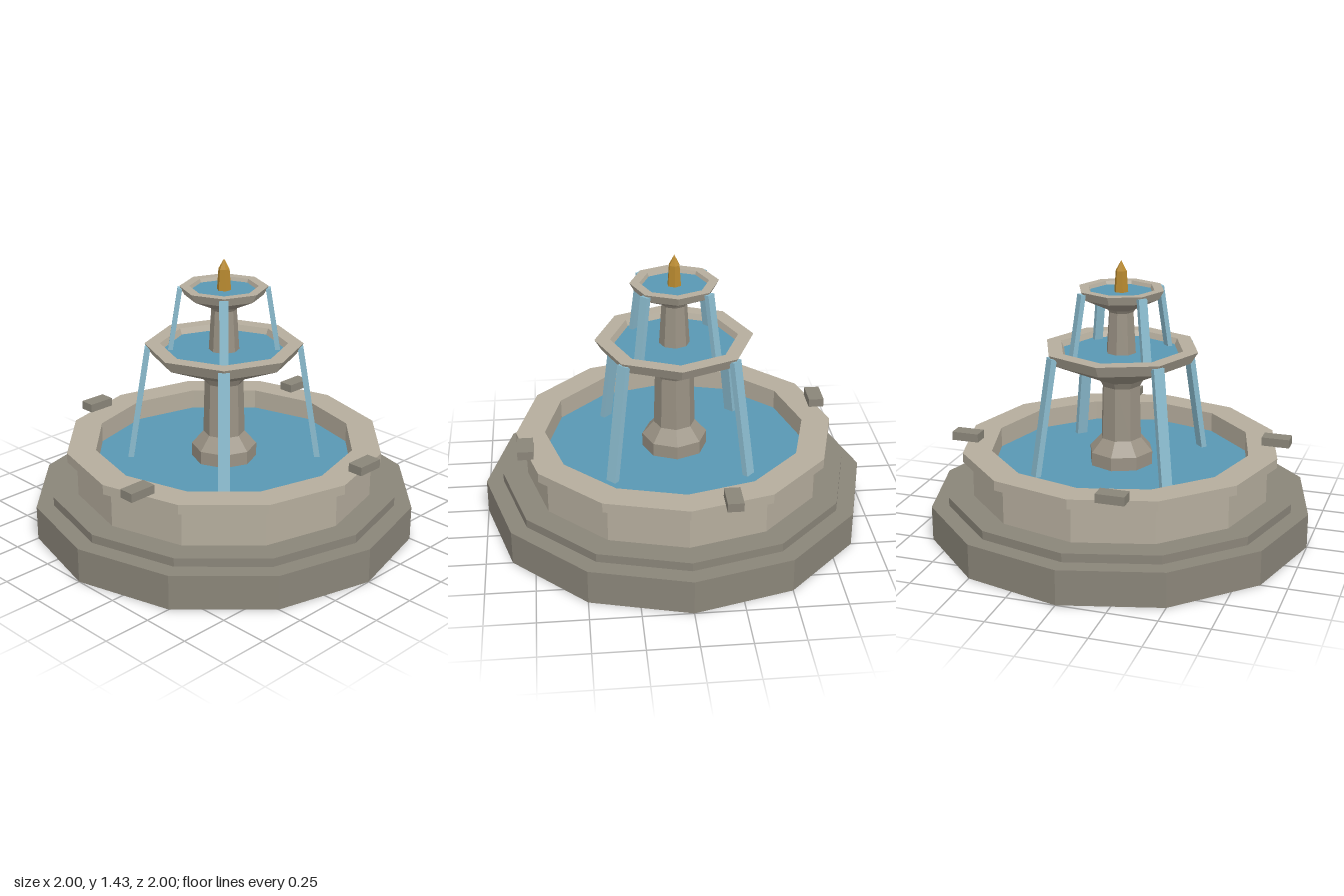
import * as THREE from 'three';

const mat = (name, color) => {
  const m = new THREE.MeshStandardMaterial({ color });
  m.name = name;
  return m;
};

export function createModel() {
  const lightStone = mat('light stone', 0xb5ad9d);
  const midStone = mat('medium stone', 0x9a9284);
  const darkStone = mat('dark stone', 0x8a8579);
  const water = mat('water', 0x5998b3);
  const stream = mat('falling water', 0x8bbccf);
  const gold = mat('gold', 0xb98a30);

  const fountain = new THREE.Group();
  fountain.name = 'fountain';

  const add = (name, geometry, material, parent = fountain) => {
    const mesh = new THREE.Mesh(geometry, material);
    mesh.name = name;
    parent.add(mesh);
    return mesh;
  };

  // Faceted turned part: profile of [radius, height], outside listed bottom to top
  const turned = (name, sides, profile, material) => {
    const points = profile.map(([r, y]) => new THREE.Vector2(r, y));
    const geometry = new THREE.LatheGeometry(points, sides).toNonIndexed();
    geometry.computeVertexNormals();
    return add(name, geometry, material);
  };

  const pool = (name, sides, radius, y) => {
    const disc = add(name, new THREE.CircleGeometry(radius, sides), water);
    disc.rotation.x = -Math.PI / 2;
    disc.position.y = y;
  };

  // Stepped plinth
  turned('plinth', 12, [[0, 0], [1, 0], [1, 0.18], [0.91, 0.18], [0.91, 0.225], [0, 0.225]], darkStone);

  // Basin wall with overhanging rim, open in the middle
  turned('basin', 12, [
    [0.78, 0.225], [0.78, 0.415], [0.83, 0.415], [0.83, 0.465], [0.68, 0.465], [0.68, 0.225],
  ], lightStone);
  pool('basinWater', 12, 0.68, 0.36);

  // Loose blocks lying on the rim
  for (const [x, z] of [[-0.21, -0.785], [0.78, -0.21], [-0.785, 0.205], [0.205, 0.78]]) {
    add('rimBlock', new THREE.BoxGeometry(0.145, 0.045, 0.08), darkStone).position.set(x, 0.487, z);
  }

  // Columns
  turned('lowerColumn', 8, [[0.17, 0.34], [0.17, 0.43], [0.108, 0.5], [0.1, 0.8], [0.1, 0.83]], midStone);
  turned('upperColumn', 8, [[0.08, 0.93], [0.065, 1.17], [0.065, 1.2]], midStone);

  // Bowls: underside, bevelled lip and water
  turned('middleBowl', 8, [[0, 0.78], [0.1, 0.78], [0.12, 0.815], [0.37, 0.925]], midStone);
  turned('middleBowlLip', 8, [[0.37, 0.925], [0.407, 0.985], [0.328, 0.985], [0.305, 0.93]], lightStone);
  pool('middleBowlWater', 8, 0.313, 0.955);

  turned('upperBowl', 8, [[0, 1.17], [0.065, 1.17], [0.075, 1.185], [0.2, 1.245]], midStone);
  turned('upperBowlLip', 8, [[0.2, 1.245], [0.225, 1.29], [0.175, 1.29], [0.155, 1.24]], lightStone);
  pool('upperBowlWater', 8, 0.167, 1.272);

  // Finial
  const finial = turned('finial', 6, [[0, 1.26], [0.038, 1.26], [0.029, 1.38], [0, 1.433]], gold);
  finial.rotation.y = Math.PI / 6;

  // Slanted streams falling from each bowl on the four diagonals
  const addStreams = (name, r0, y0, r1, y1, width, depth) => {
    const length = Math.hypot(r1 - r0, y1 - y0);
    for (let i = 0; i < 4; i++) {
      const arm = new THREE.Group();
      arm.name = name + 'Arm';
      arm.rotation.y = Math.PI / 4 + (i * Math.PI) / 2;
      fountain.add(arm);
      const box = add(name, new THREE.BoxGeometry(width, length, depth), stream, arm);
      box.position.set(0, (y0 + y1) / 2, (r0 + r1) / 2);
      box.rotation.x = -Math.atan2(r1 - r0, y0 - y1);
    }
  };
  addStreams('lowerStream', 0.39, 0.97, 0.49, 0.355, 0.058, 0.03);
  addStreams('upperStream', 0.222, 1.28, 0.275, 0.95, 0.046, 0.025);

  return fountain;
}
